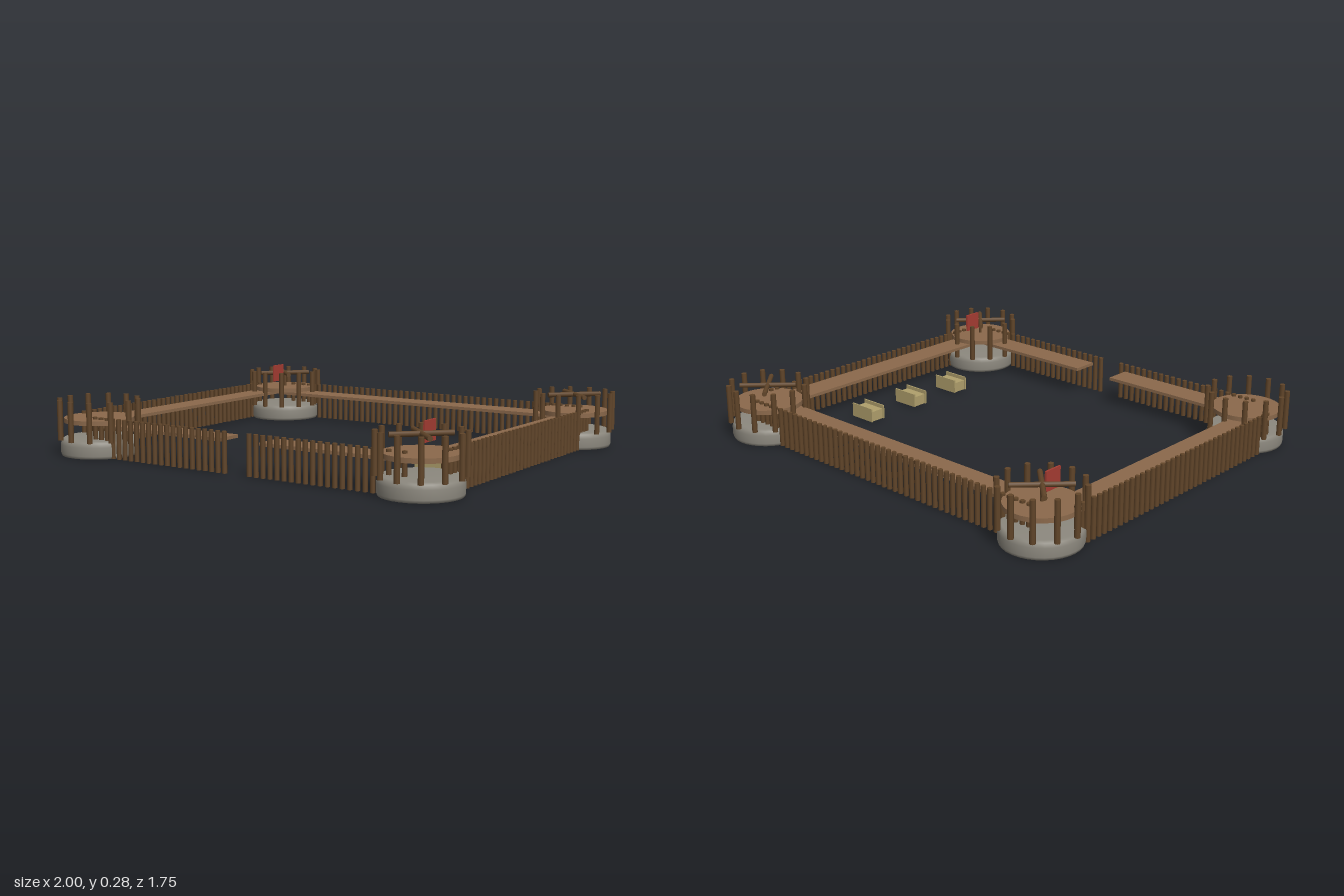
import * as THREE from 'three';

const mat = (name, color, side = THREE.FrontSide) => {
  const m = new THREE.MeshStandardMaterial({ color, side });
  m.name = name;
  return m;
};

export function createModel() {
  const root = new THREE.Group();
  root.name = 'palisadeFort';

  const timber = mat('darkTimber', 0x614529);
  const plank = mat('plankBrown', 0x8b694b);
  const stone = mat('stoneGrey', 0x8c887e);
  const canvas = mat('canvasTan', 0xb0a06c);
  const red = mat('flagRed', 0xa63c32);

  const add = (parent, name, geo, material, x = 0, y = 0, z = 0) => {
    const m = new THREE.Mesh(geo, material);
    m.name = name;
    m.position.set(x, y, z);
    parent.add(m);
    return m;
  };
  const box = (parent, name, material, x0, x1, y0, y1, z0, z1) =>
    add(parent, name, new THREE.BoxGeometry(x1 - x0, y1 - y0, z1 - z0), material,
      (x0 + x1) / 2, (y0 + y1) / 2, (z0 + z1) / 2);

  // Corner towers: stone base, ring of posts, raised deck, crossed logs, flag
  const baseGeo = new THREE.LatheGeometry(
    [[0, 0], [0.164, 0], [0.168, 0.012], [0.168, 0.05], [0.163, 0.068], [0.152, 0.076], [0, 0.076]]
      .map(([r, y]) => new THREE.Vector2(r, y)), 32);
  const deckGeo = new THREE.CylinderGeometry(0.152, 0.152, 0.02, 32);
  const postGeo = new THREE.CylinderGeometry(0.012, 0.012, 0.175, 8);
  const logGeo = new THREE.CylinderGeometry(0.011, 0.011, 0.25, 8);

  const tower = (name, x, z, hasLogs, flagDir) => {
    const g = new THREE.Group();
    g.name = name;
    g.position.set(x, 0, z);
    root.add(g);
    add(g, 'stoneBase', baseGeo, stone);
    add(g, 'deck', deckGeo, plank, 0, 0.153, 0);
    for (let i = 0; i < 12; i++) {
      const a = i * Math.PI / 6;
      add(g, 'towerPost', postGeo, timber, 0.173 * Math.cos(a), 0.1575, 0.173 * Math.sin(a));
    }
    if (hasLogs) {
      for (const s of [-1, 1]) {
        const log = add(g, 'crossedLog', logGeo, timber, 0, 0.23, 0);
        log.rotation.set(0, s * Math.PI / 4, Math.PI / 2);
      }
    }
    if (flagDir) {
      add(g, 'flagPole', new THREE.CylinderGeometry(0.007, 0.007, 0.08, 8), timber, 0, 0.2, 0);
      add(g, 'flag', new THREE.BoxGeometry(0.008, 0.083, 0.082), red, 0, 0.234, flagDir * 0.06);
    }
  };
  tower('frontLeftTower', 0.815, 0.69, true, -1);
  tower('frontRightTower', -0.815, 0.69, false, 0);
  tower('backLeftTower', 0.815, -0.69, true, 0);
  tower('backRightTower', -0.815, -0.69, true, 1);

  // Palisade stakes, evenly spaced from one end of each wall to the other
  const stakeGeo = new THREE.CylinderGeometry(0.0105, 0.0105, 0.173, 8);
  const palisade = (name, x0, z0, x1, z1) => {
    const g = new THREE.Group();
    g.name = name;
    root.add(g);
    const n = Math.round(Math.hypot(x1 - x0, z1 - z0) / 0.0335);
    for (let i = 0; i <= n; i++) {
      const t = i / n;
      add(g, 'stake', stakeGeo, timber, x0 + (x1 - x0) * t, 0.0865, z0 + (z1 - z0) * t);
    }
  };
  palisade('backPalisade', -0.805, -0.75, 0.82, -0.75);
  palisade('rightPalisade', -0.947, -0.645, -0.947, 0.65);
  palisade('leftPalisade', 0.897, -0.645, 0.897, 0.65);
  palisade('frontRightPalisade', -0.805, 0.76, -0.06, 0.76);
  palisade('frontLeftPalisade', 0.065, 0.76, 0.785, 0.76);

  // Walkways behind the stakes
  const walk = (name, x0, x1, z0, z1) => box(root, name, plank, x0, x1, 0.126, 0.14, z0, z1);
  walk('backWalkway', -0.78, 0.78, -0.728, -0.608);
  walk('rightWalkway', -0.937, -0.815, -0.64, 0.64);
  walk('leftWalkway', 0.765, 0.886, -0.64, 0.64);
  walk('frontRightWalkway', -0.78, -0.09, 0.632, 0.752);
  walk('frontLeftWalkway', 0.11, 0.78, 0.632, 0.752);

  // Row of cots inside the left wall
  for (const z of [-0.253, 0.02, 0.292]) {
    const g = new THREE.Group();
    g.name = 'cot';
    g.position.set(0.64, 0, z);
    root.add(g);
    box(g, 'cotBody', canvas, -0.06, 0.06, 0, 0.047, -0.033, 0.033);
    for (const s of [-1, 1]) {
      box(g, 'cotSide', canvas, -0.066, 0.066, 0, 0.064, s * 0.036 - 0.003, s * 0.036 + 0.003);
    }
  }
  return root;
}
